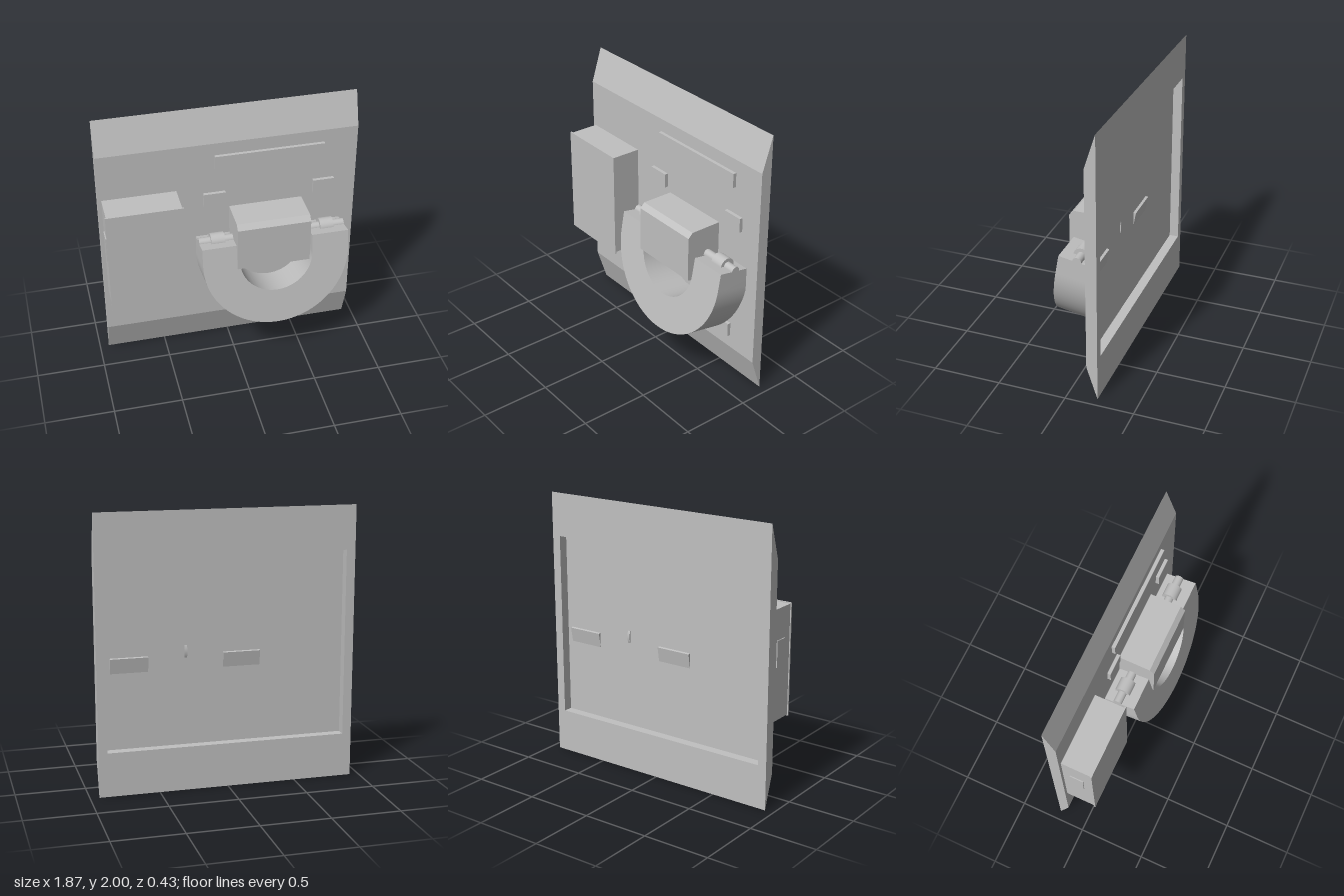
import * as THREE from 'three';
import { toCreasedNormals } from 'three/addons/utils/BufferGeometryUtils.js';

export function createModel() {
  const model = new THREE.Group();
  model.name = 'wallLock';
  const grey = new THREE.MeshStandardMaterial({ color: 0xc0c0c0 });
  grey.name = 'grey';

  const add = (name, geometry, parent = model) => {
    const mesh = new THREE.Mesh(geometry, grey);
    mesh.name = name;
    parent.add(mesh);
    return mesh;
  };
  // Box given by its limits
  const box = (name, x0, x1, y0, y1, z0, z1, parent) => {
    const g = new THREE.BoxGeometry(x1 - x0, y1 - y0, z1 - z0);
    g.translate((x0 + x1) / 2, (y0 + y1) / 2, (z0 + z1) / 2);
    return add(name, g, parent);
  };
  // Side profile of [z, y] points, extruded from x0 to x1
  const profile = (name, points, x0, x1, parent) => {
    const shape = new THREE.Shape(points.map(([z, y]) => new THREE.Vector2(-z, y)));
    const g = new THREE.ExtrudeGeometry(shape, { depth: x1 - x0, bevelEnabled: false });
    g.rotateY(Math.PI / 2).translate(x0, 0, 0);
    return add(name, g, parent);
  };
  // Cylinder lying along x at the hinge height
  const hingeY = 1.0, hingeZ = -0.035;
  const rod = (name, r, x0, x1, parent) => {
    const g = new THREE.CylinderGeometry(r, r, x1 - x0, 32);
    g.rotateZ(Math.PI / 2).translate((x0 + x1) / 2, hingeY, hingeZ);
    return add(name, g, parent);
  };

  // Back plate: sloped top and bottom, hollow behind
  const plate = new THREE.Group();
  plate.name = 'backPlate';
  model.add(plate);
  const back = -0.215, front = -0.135, floor = -0.146;
  const outer = [[back, 0], [front, 0.25], [front, 1.75], [back, 2]];
  const notch = [[back, 1.68], [floor, 1.68], [floor, 0.32], [back, 0.32]];
  profile('plateRightEdge', outer, -0.935, -0.87, plate);
  profile('plateMiddle', [...outer, ...notch], -0.87, 0.87, plate);
  profile('plateLeftEdge', outer, 0.87, 0.935, plate);

  // Raised pads
  const padFront = -0.11;
  box('upperBar', -0.105, 0.69, 1.55, 1.655, front, padFront);
  box('lowerBar', -0.105, 0.69, 0.35, 0.455, front, padFront);
  box('rightPad', -0.19, -0.03, 1.245, 1.35, front, padFront);
  box('leftPad', 0.615, 0.77, 1.245, 1.35, front, padFront);

  // Side box with a thin lid and a side tab
  const cabinet = new THREE.Group();
  cabinet.name = 'sideBox';
  model.add(cabinet);
  box('sideBoxBody', -0.91, -0.38, 0.605, 1.4, front, 0.085, cabinet);
  box('sideBoxLid', -0.917, -0.37, 0.598, 1.407, 0.083, 0.094, cabinet);
  box('sideBoxTab', -0.917, -0.9, 0.99, 1.18, -0.08, 0.02, cabinet);

  // Lock body with chamfered top and a foot against the plate
  profile('lockBody', [
    [front, 1.21], [0.1, 1.21], [0.135, 1.175], [0.135, 0.84],
    [-0.11, 0.79], [-0.11, 0.655], [front, 0.64],
  ], 0, 0.535);

  // Hinge rod, collars and centre disc
  rod('hingeRod', 0.032, -0.25, 0.83);
  rod('rightCollar', 0.057, -0.165, -0.065);
  rod('leftCollar', 0.057, 0.645, 0.745);
  rod('centreDisc', 0.12, 0.28, 0.3);

  // U-shaped handle hanging from the rod, swung forward
  const R = 0.54, r = 0.27, drop = 0.135, depth = 0.264;
  const u = new THREE.Shape();
  u.moveTo(-R, 0);
  u.lineTo(-R, -drop);
  u.absarc(0, -drop, R, Math.PI, 2 * Math.PI, false);
  u.lineTo(R, 0);
  u.lineTo(r, 0);
  u.lineTo(r, -drop);
  u.absarc(0, -drop, r, 2 * Math.PI, Math.PI, true);
  u.lineTo(-r, 0);
  const uGeo = new THREE.ExtrudeGeometry(u, { depth, bevelEnabled: false, curveSegments: 40 });
  uGeo.translate(0, 0, -depth / 2);
  const handle = add('handle', toCreasedNormals(uGeo, 0.5));
  handle.position.set(0.29, hingeY, hingeZ);
  handle.rotation.x = -THREE.MathUtils.degToRad(10);

  return model;
}
